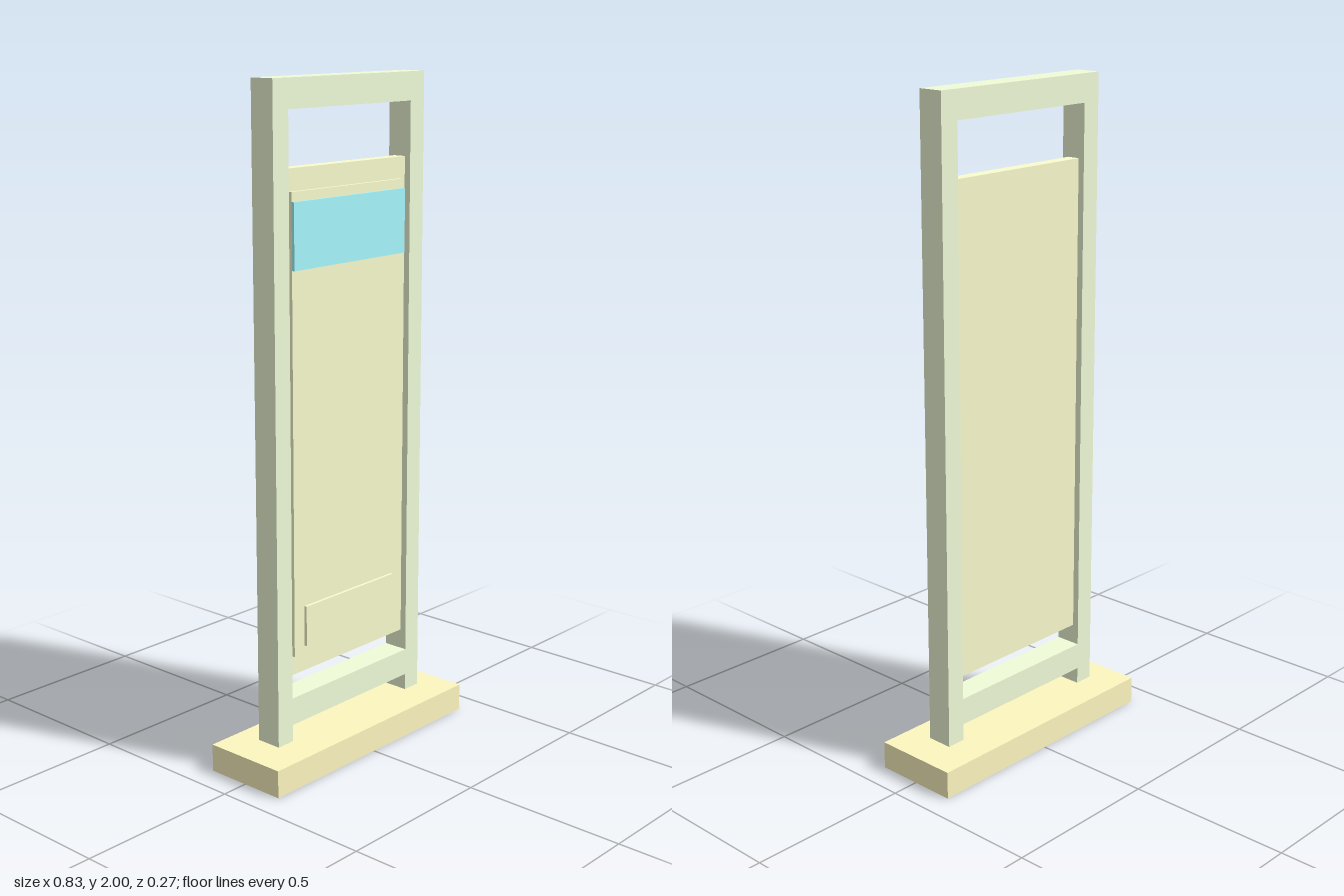
import * as THREE from 'three';

const FRAME = 0xf1fcd9, PANEL = 0xfafcce, BASE = 0xfef7c0, BAND = 0xa8f8fe;

function addMesh(group, name, geometry, color) {
  const mesh = new THREE.Mesh(geometry, new THREE.MeshStandardMaterial({ color }));
  mesh.name = name;
  group.add(mesh);
  return mesh;
}

// Box centred on x, given by its width and its y and z ranges
function addSlab(group, name, width, y0, y1, z0, z1, color) {
  const mesh = addMesh(group, name, new THREE.BoxGeometry(width, y1 - y0, z1 - z0), color);
  mesh.position.set(0, (y0 + y1) / 2, (z0 + z1) / 2);
}

export function createModel() {
  const model = new THREE.Group();
  model.name = 'standingSign';

  // Plinth, with a narrow gap below the frame
  addSlab(model, 'base', 0.834, 0, 0.083, -0.133, 0.133, BASE);

  // Frame: outline with two short feet and one opening
  const outer = 0.317, inner = 0.257, depth = 0.08;
  const outline = new THREE.Shape([
    [-outer, 0.092], [-inner, 0.092], [-inner, 0.143], [inner, 0.143],
    [inner, 0.092], [outer, 0.092], [outer, 2], [-outer, 2],
  ].map(([x, y]) => new THREE.Vector2(x, y)));
  outline.holes.push(new THREE.Path([
    [-inner, 0.226], [-inner, 1.917], [inner, 1.917], [inner, 0.226],
  ].map(([x, y]) => new THREE.Vector2(x, y))));
  const frame = new THREE.ExtrudeGeometry(outline, { depth, bevelEnabled: false });
  frame.translate(0, 0, -depth / 2);
  addMesh(model, 'frame', frame, FRAME);

  // Board between the posts, with raised layers on its front
  addSlab(model, 'backBoard', 2 * inner, 0.287, 1.757, -0.02, 0.02, PANEL);
  addSlab(model, 'facePanel', 0.472, 0.346, 1.694, 0.02, 0.03, PANEL);
  addSlab(model, 'headerBand', 0.472, 1.478, 1.667, 0.03, 0.039, BAND);
  addSlab(model, 'footerPlaque', 0.388, 0.37, 0.492, 0.03, 0.039, PANEL);

  return model;
}
